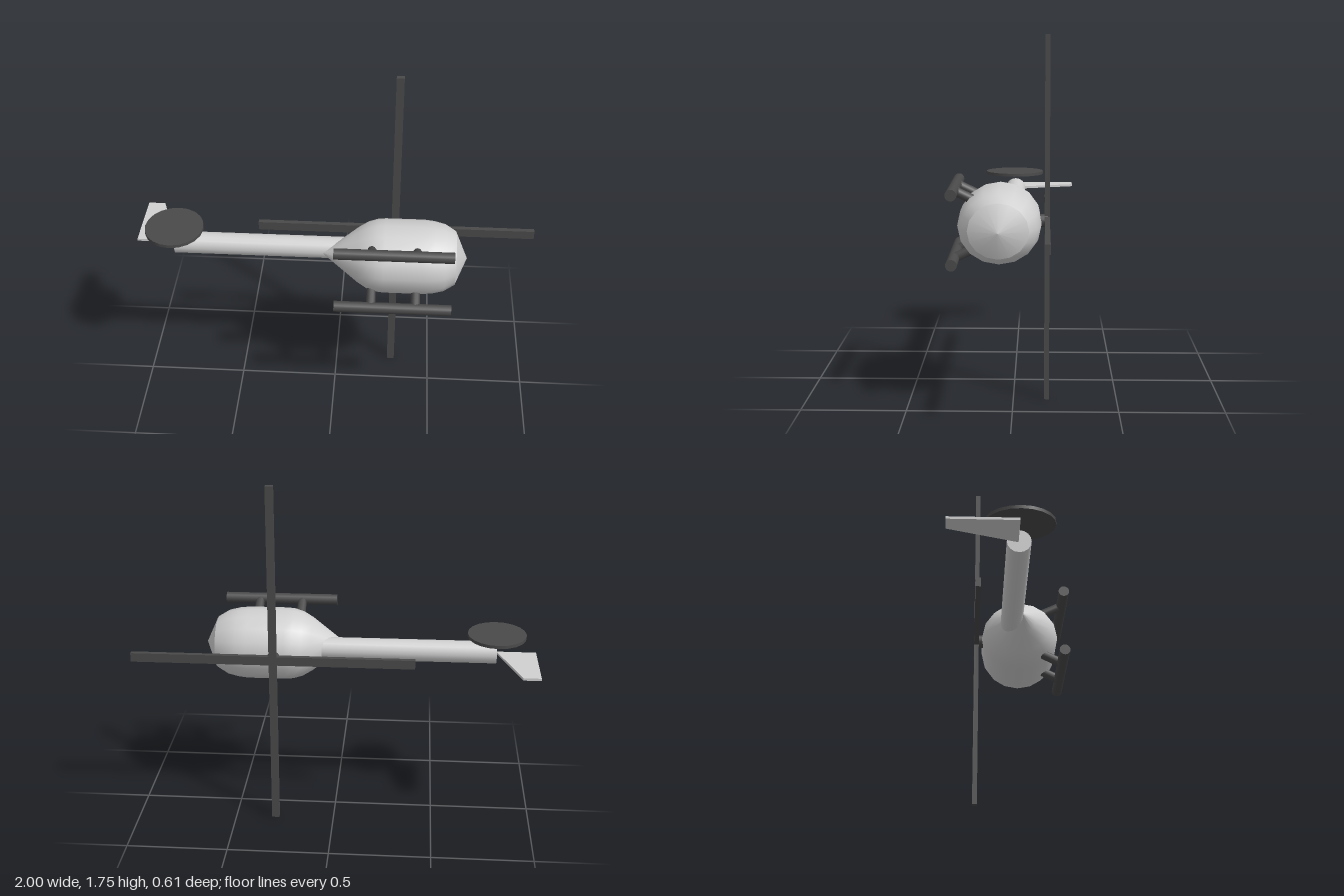
import * as THREE from 'three';
import { toCreasedNormals } from 'three/addons/utils/BufferGeometryUtils.js';

const CY = 0.877; // height of the long axis

export function createModel() {
  const model = new THREE.Group();
  const light = new THREE.MeshStandardMaterial({ color: 0xd0d0d0 });
  light.name = 'lightGrey';
  const dark = new THREE.MeshStandardMaterial({ color: 0x4a4a4a });
  dark.name = 'darkGrey';

  const add = (name, geometry, material, x = 0, y = 0, z = 0) => {
    const mesh = new THREE.Mesh(geometry, material);
    mesh.name = name;
    mesh.position.set(x, y, z);
    model.add(mesh);
    return mesh;
  };

  // round bar between two points
  const bar = (name, a, b, radius, material, sides = 16) => {
    const from = new THREE.Vector3(...a), to = new THREE.Vector3(...b);
    const dir = to.clone().sub(from);
    const mesh = add(name, new THREE.CylinderGeometry(radius, radius, dir.length(), sides), material);
    mesh.position.copy(from).add(to).multiplyScalar(0.5);
    mesh.quaternion.setFromUnitVectors(new THREE.Vector3(0, 1, 0), dir.normalize());
    return mesh;
  };

  // cabin: turned along x, slightly deeper in z, pointed at both ends
  const profile = [
    [0, -0.06], [0.068, 0.03], [0.134, 0.118], [0.162, 0.165], [0.176, 0.21], [0.18, 0.25],
    [0.18, 0.44], [0.175, 0.49], [0.162, 0.545], [0.13, 0.598], [0, 0.655],
  ].map(([r, x]) => new THREE.Vector2(r, x));
  const cabin = new THREE.LatheGeometry(profile, 16);
  cabin.rotateZ(-Math.PI / 2);
  cabin.scale(1, 0.99, 1.085);
  add('cabin', toCreasedNormals(cabin, 0.6), light, 0, CY, 0.062);

  // tail boom and swept fin
  bar('tailBoom', [-0.8, CY, 0.013], [0.1, CY, 0.013], 0.055, light);
  const finShape = new THREE.Shape([
    [-0.995, -0.01], [-0.8, -0.01], [-0.91, 0.308], [-0.995, 0.308],
  ].map(([x, y]) => new THREE.Vector2(x, y)));
  const fin = new THREE.ExtrudeGeometry(finShape, { depth: 0.012, bevelEnabled: false });
  fin.translate(0, 0, -0.006);
  fin.rotateX(-Math.PI / 2);
  add('tailFin', fin, light, 0, CY, 0);

  // tail rotor disc
  const disc = add('tailRotor', new THREE.CylinderGeometry(0.145, 0.145, 0.016, 20), dark, -0.8, 0.967, 0.018);
  disc.scale.z = 1.1;

  // main rotor: two crossed blades on a short mast
  bar('rotorMast', [0.297, CY, -0.08], [0.297, CY, -0.165], 0.032, dark);
  add('rotorBladeLong', new THREE.BoxGeometry(1.4, 0.045, 0.024), dark, 0.3, 0.875, -0.161);
  add('rotorBladeCross', new THREE.BoxGeometry(0.038, 1.75, 0.024), dark, 0.297, 0.875, -0.161);

  // skids with two struts each
  for (const side of [-1, 1]) {
    const y = CY + side * 0.161;
    bar('skid', [0.01, y, 0.277], [0.583, y, 0.277], 0.027, dark);
    for (const x of [0.19, 0.408]) {
      bar('skidStrut', [x, y, 0.277], [x, CY + side * 0.085, 0.12], 0.023, dark, 12);
    }
  }

  return model;
}
